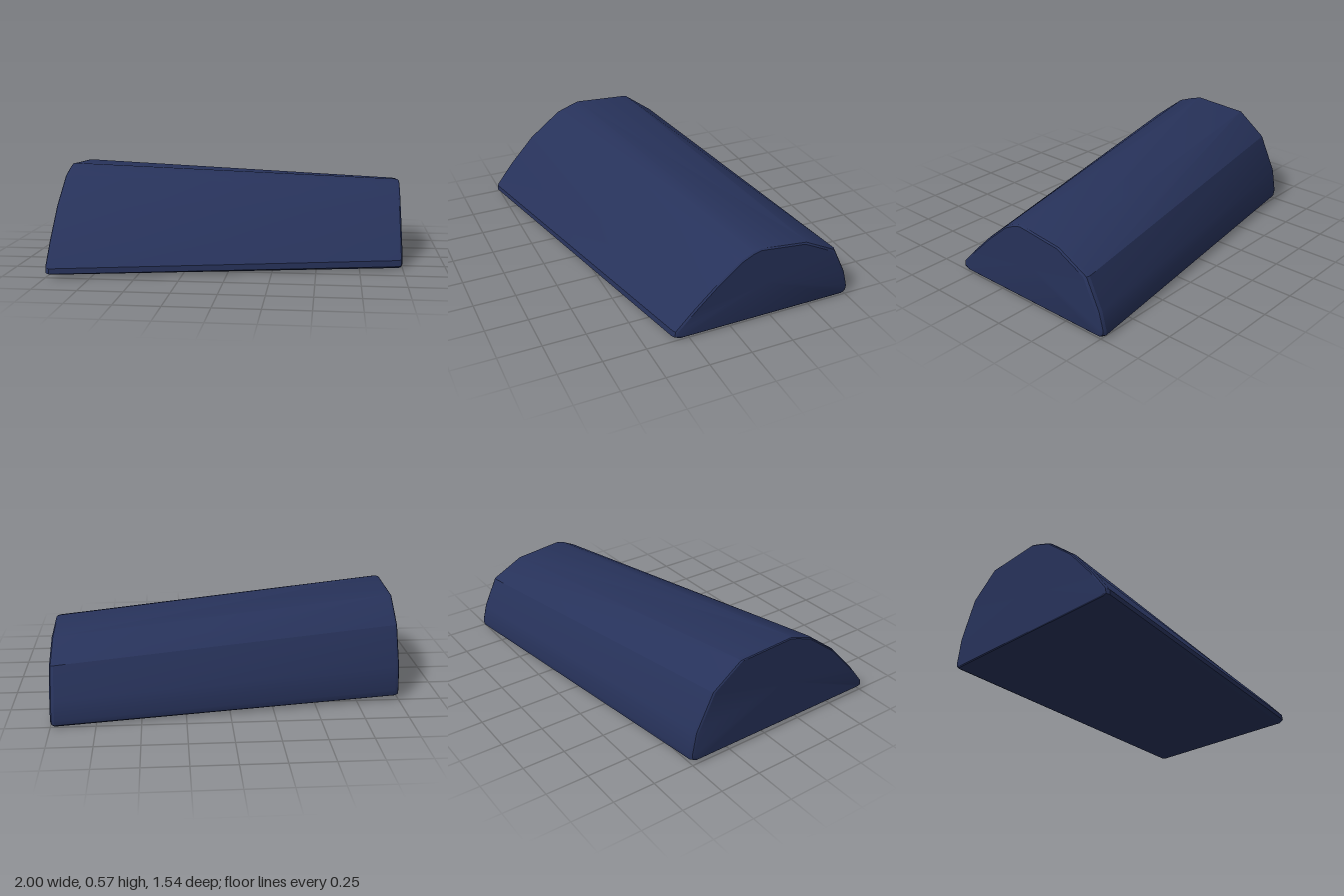
import * as THREE from 'three';
import { toCreasedNormals } from 'three/addons/utils/BufferGeometryUtils.js';

// Matching [z, y] outlines of the two ends: front edge, over the top, to the back edge
const rightEnd = [
  [0.75, 0.018], [0.768, 0.025], [0.765, 0.055], [0.66, 0.19], [0.5, 0.365], [0.3, 0.52], [0.2, 0.557], [0.15, 0.572],
  [-0.2, 0.553], [-0.38, 0.42], [-0.485, 0.2], [-0.51, 0.06], [-0.505, 0.03], [-0.48, 0.018],
];
const leftEnd = [
  [0.31, 0], [0.34, 0.015], [0.335, 0.05], [0.235, 0.155], [0.105, 0.28], [-0.05, 0.41], [-0.12, 0.445], [-0.17, 0.458],
  [-0.46, 0.425], [-0.655, 0.325], [-0.74, 0.15], [-0.768, 0.045], [-0.763, 0.015], [-0.74, 0],
];

// Stations along the length: [x, inset from the outline], with softened end rims
const stations = [
  [-1, 0.035], [-0.995, 0.015], [-0.975, 0], [0.975, 0], [0.992, 0.015], [1, 0.05],
];

function section([x, inset]) {
  const t = THREE.MathUtils.clamp((x + 0.975) / 1.95, 0, 1);
  const ring = rightEnd.map(([z, y], j) => new THREE.Vector3(
    x,
    THREE.MathUtils.lerp(y, leftEnd[j][1], t),
    THREE.MathUtils.lerp(z, leftEnd[j][0], t),
  ));
  const centre = new THREE.Box3().setFromPoints(ring).getCenter(new THREE.Vector3());
  ring.forEach((p) => p.lerp(centre, inset));
  return { ring, centre };
}

function loft() {
  const sections = stations.map(section);
  const n = rightEnd.length;
  const positions = [];
  const tri = (...points) => points.forEach((p) => positions.push(p.x, p.y, p.z));

  // Skin between neighbouring sections
  for (let i = 0; i < sections.length - 1; i++) {
    const a = sections[i].ring, b = sections[i + 1].ring;
    for (let j = 0; j < n; j++) {
      const k = (j + 1) % n;
      tri(a[j], b[j], b[k]);
      tri(a[j], b[k], a[k]);
    }
  }
  // End caps
  const first = sections[0], last = sections[sections.length - 1];
  for (let j = 0; j < n; j++) {
    const k = (j + 1) % n;
    tri(first.centre, first.ring[j], first.ring[k]);
    tri(last.centre, last.ring[k], last.ring[j]);
  }
  const geometry = new THREE.BufferGeometry();
  geometry.setAttribute('position', new THREE.Float32BufferAttribute(positions, 3));
  return toCreasedNormals(geometry, 0.45);
}

export function createModel() {
  const group = new THREE.Group();
  group.name = 'taperedBlock';
  const body = new THREE.Mesh(loft(), new THREE.MeshStandardMaterial({ color: 0x27325a }));
  body.name = 'body';
  group.add(body);
  return group;
}
